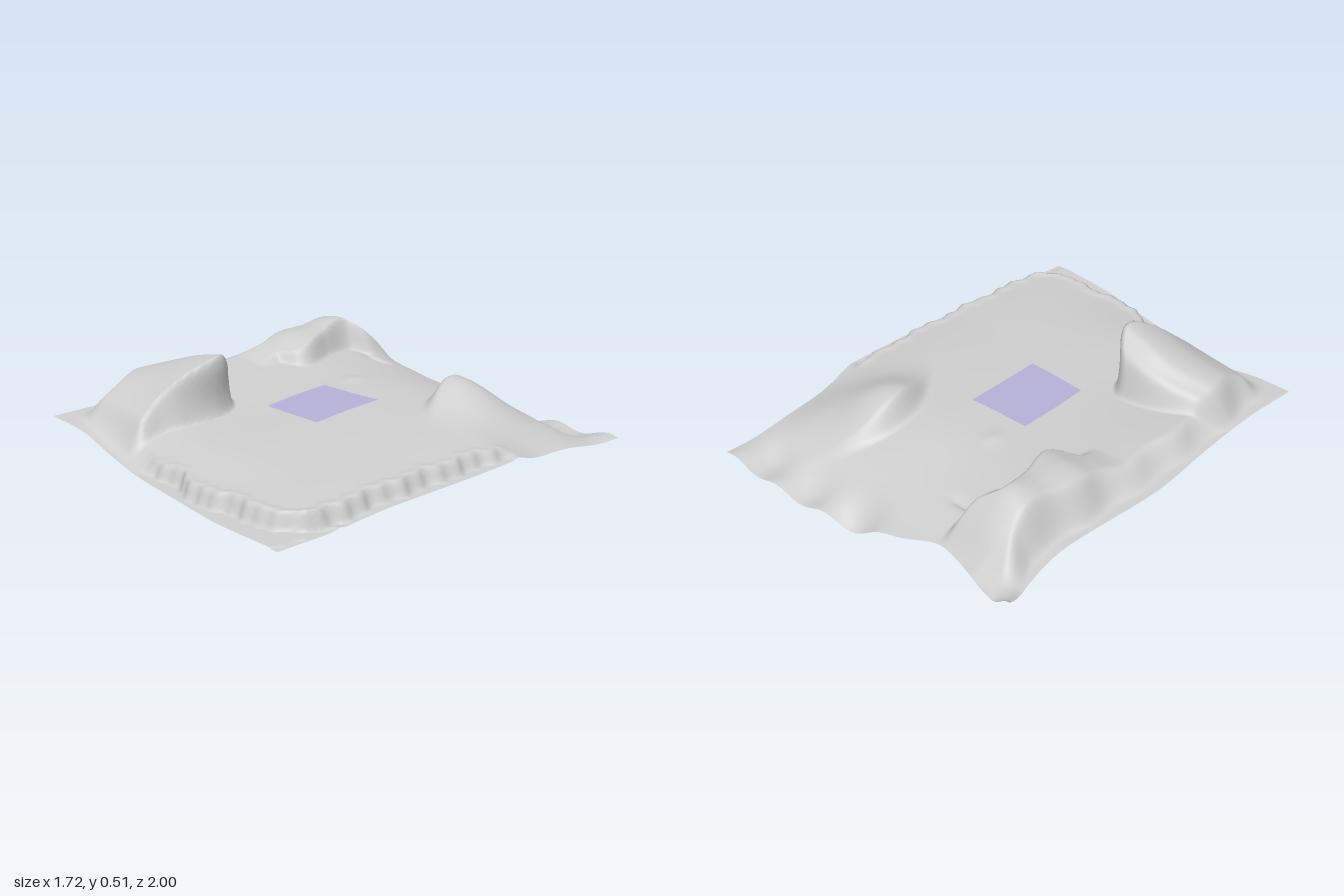
import * as THREE from 'three';

const mix = (a, b, t) => a + (b - a) * t;
const step = (a, b, x) => THREE.MathUtils.smoothstep(x, a, b);
const bell = (x, c, s) => Math.exp(-(((x - c) / s) ** 2));

// Smooth curve through [position, value] pairs, clamped at both ends
function curve(pts, t) {
  const n = pts.length - 1;
  if (t <= pts[0][0]) return pts[0][1];
  if (t >= pts[n][0]) return pts[n][1];
  let i = 0;
  while (t > pts[i + 1][0]) i++;
  const slope = (k) => {
    const a = pts[Math.max(k - 1, 0)], b = pts[Math.min(k + 1, n)];
    return (b[1] - a[1]) / (b[0] - a[0]);
  };
  const [x0, y0] = pts[i], [x1, y1] = pts[i + 1];
  const h = x1 - x0, s = (t - x0) / h, s2 = s * s, s3 = s2 * s;
  return y0 * (2 * s3 - 3 * s2 + 1) + slope(i) * h * (s3 - 2 * s2 + s)
    + y1 * (3 * s2 - 2 * s3) + slope(i + 1) * h * (s3 - s2);
}

// Outline of the sheet
const leftEdge = [[0, -0.86], [0.1, -0.785], [0.22, -0.75], [0.5, -0.76], [0.68, -0.72], [0.85, -0.69], [1, -0.69]];
const rightEdge = [[0, 0.81], [0.2, 0.81], [0.4, 0.855], [0.7, 0.855], [1, 0.84]];
const backEdge = [[0, -0.92], [0.1, -0.9], [0.29, -0.83], [0.4, -0.87], [0.52, -0.9], [0.64, -0.95], [0.8, -0.98], [1, -1]];
const frontEdge = [[0, 0.88], [0.2, 0.88], [0.45, 0.93], [0.65, 0.97], [0.78, 0.995], [1, 1]];

// Broad rise and fall of the ground: rows by z, columns by x
const columns = [-0.6, -0.2, 0.2, 0.6, 0.85];
const ground = [
  [-0.98, [0.16, 0.08, 0.025, 0.03, 0.04]],
  [-0.88, [0.17, 0.1, 0.05, 0.045, 0.04]],
  [-0.7, [0.24, 0.19, 0.16, 0.13, 0.06]],
  [-0.45, [0.27, 0.24, 0.23, 0.18, 0.09]],
  [-0.2, [0.28, 0.25, 0.245, 0.22, 0.17]],
  [0.3, [0.29, 0.245, 0.24, 0.22, 0.195]],
  [0.65, [0.25, 0.225, 0.225, 0.21, 0.19]],
  [0.9, [0.22, 0.16, 0.18, 0.19, 0.18]],
];

// Cliffed ridge, mound and rim lines
const cliffX = [[-0.75, -0.37], [-0.67, -0.39], [-0.6, -0.46], [-0.45, -0.43], [-0.3, -0.37], [-0.23, -0.38], [-0.18, -0.46]];
const cliffRise = [[-0.87, 0], [-0.82, 0.005], [-0.72, 0.07], [-0.6, 0.135], [-0.45, 0.105], [-0.3, 0.085], [-0.2, 0.045], [-0.08, 0.004], [-0.02, 0]];
const moundRise = [[0.25, 0], [0.28, 0.04], [0.3, 0.35], [0.32, 0.68], [0.36, 0.85], [0.42, 1], [0.55, 0.84], [0.68, 0.5], [0.79, 0.2], [0.87, 0.01], [0.9, 0]];
const moundX = [[0.28, -0.24], [0.35, -0.18], [0.45, -0.15], [0.6, -0.17], [0.7, -0.2], [0.85, -0.19]];
const leftY = [[-0.92, 0.23], [-0.88, 0.2], [-0.8, 0.17], [-0.5, 0.19], [0.88, 0.21]];
const leftRim = [[-0.9, -0.77], [-0.78, -0.72], [-0.66, -0.64], [-0.5, -0.64], [0, -0.64], [0.4, -0.61], [0.7, -0.57], [0.88, -0.5]];
const frontY = [[-0.69, 0.21], [-0.5, 0.195], [-0.3, 0.15], [-0.05, 0.125], [0.84, 0.125]];
const frontRim = [[-0.69, 0.79], [-0.3, 0.83], [-0.05, 0.87], [0.1, 0.86], [0.28, 0.92], [0.5, 0.89], [0.66, 0.89], [0.78, 0.8], [0.84, 0.72]];

function height(x, z) {
  let y = curve(ground.map(([gz, row]) => [gz, curve(columns.map((c, i) => [c, row[i]]), x)]), z);
  // Scalloped back edge with one deeper dip
  const back = 1 - step(-0.95, -0.74, z);
  y += back * (0.014 * Math.cos((x - 0.215) * 23.3) * step(-0.3, 0.1, x) - 0.05 * bell(x, 0.03, 0.11));
  // Ridge at the back with a cliff facing the middle
  const cx = curve(cliffX, z);
  y += curve(cliffRise, z) * (1 - step(cx - 0.03, cx + 0.02, x)) * mix(0.6, 1, step(-0.72, -0.5, x));
  y -= 0.02 * bell(z, -0.645, 0.02) * bell(x, -0.31, 0.07);
  // Hump with a steep, curved side
  const hx = 0.265 + 1.6 * (z + 0.5) ** 2;
  y += 0.115 * step(hx - 0.02, hx + 0.06, x) * bell(z, -0.47, 0.19) * (x > 0.36 ? bell(x, 0.36, 0.23) : 1);
  // Small bump near the middle
  y += 0.008 * bell(x, -0.1, 0.04) * bell(z, -0.3, 0.05);
  // Tall mound at the front, its back rounded off towards the left
  const mx = curve(moundX, z);
  const mz = z - 1.1 * Math.min(x + 0.3, 0) ** 2 * (1 - step(0.45, 0.8, z));
  const top = 0.36 + 0.36 * (Math.min(x, -0.18) + 0.6);
  y += (top - y) * curve(moundRise, mz) * (1 - step(mx - 0.045, mx + 0.01, x));
  // Left bank
  const lx = curve(leftRim, z) + 0.01 * Math.sin(z * 22);
  y = mix(curve(leftY, z), y, step(lx - 0.08, lx + 0.03, x));
  // Ragged lip on the right
  const rx = 0.8 + 0.009 * Math.sin(z * 23) + 0.007 * Math.sin(z * 61);
  const right = step(-0.32, -0.25, z);
  y += 0.006 * right * bell(x, rx - 0.025, 0.02);
  y = mix(y, 0.14 - 0.02 * step(0.4, 0.8, z), right * step(rx - 0.012, rx + 0.018, x));
  // Ragged lip along the front
  const sharp = step(-0.15, 0, x);
  const fz = curve(frontRim, x) + sharp * (0.006 * Math.sin(x * 37) + 0.004 * Math.sin(x * 83));
  y += 0.006 * sharp * bell(z, fz - 0.025, 0.02);
  return mix(y, Math.min(y, curve(frontY, x)), step(fz - mix(0.08, 0.012, sharp), fz + mix(0.05, 0.018, sharp), z));
}

export function createModel() {
  const grey = new THREE.MeshStandardMaterial({ color: 0xcfcfcf, side: THREE.DoubleSide });
  grey.name = 'ground grey';
  const lavender = new THREE.MeshStandardMaterial({ color: 0xb6b1d8, side: THREE.DoubleSide });
  lavender.name = 'patch lavender';

  // Sheet of points between the four edges
  const nx = 160, nz = 180, positions = [];
  for (let j = 0; j <= nz; j++) {
    for (let i = 0; i <= nx; i++) {
      const u = i / nx, v = j / nz;
      let x = mix(curve(leftEdge, v), curve(rightEdge, v), u);
      let z = mix(curve(backEdge, u), curve(frontEdge, u), v);
      const twist = bell(x, 0, 0.4) * bell(z, 0, 0.4);
      x += 0.06 * z * twist;
      z -= 0.06 * x * twist;
      const y = height(x, z);
      // Mound crest leans out over its cliff
      x += 0.05 * step(0.3, 0.48, y) * bell(x, -0.19, 0.08) * bell(z, 0.45, 0.16);
      positions.push(x, y, z);
    }
  }

  // Ground faces first, then the coloured patch in the middle
  const faces = [[], []];
  for (let j = 0; j < nz; j++) {
    for (let i = 0; i < nx; i++) {
      const a = j * (nx + 1) + i, c = a + nx + 1;
      const x = mix(-0.75, 0.855, (i + 0.5) / nx), z = mix(-0.92, 0.955, (j + 0.5) / nz);
      const inPatch = x > -0.12 && x < 0.175 && z > -0.165 && z < 0.205;
      faces[inPatch ? 1 : 0].push(a, c, a + 1, a + 1, c, c + 1);
    }
  }
  const geometry = new THREE.BufferGeometry();
  geometry.setAttribute('position', new THREE.Float32BufferAttribute(positions, 3));
  geometry.setIndex([...faces[0], ...faces[1]]);
  geometry.addGroup(0, faces[0].length, 0);
  geometry.addGroup(faces[0].length, faces[1].length, 1);
  geometry.computeVertexNormals();

  const terrain = new THREE.Mesh(geometry, [grey, lavender]);
  terrain.name = 'terrain';
  const group = new THREE.Group();
  group.name = 'terrainSheet';
  group.add(terrain);
  return group;
}
